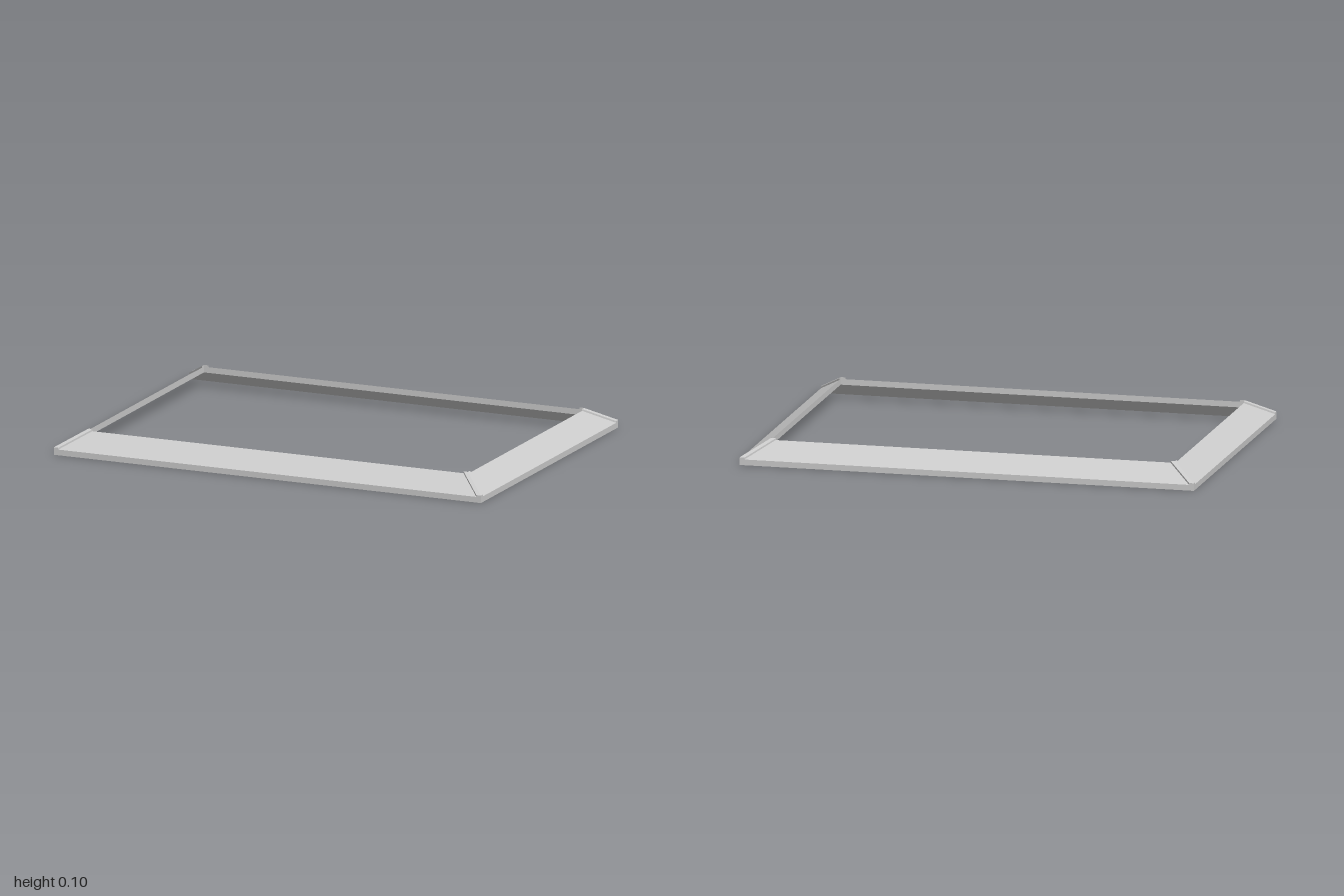
import * as THREE from 'three';
import { ConvexGeometry } from 'three/addons/geometries/ConvexGeometry.js';

const OUT = { x: 1, z: 0.71, y: 0.025 };   // outer (low) rim of the sloped top
const IN = { x: 0.89, z: 0.60, y: 0.092 }; // inner (high) rim
const SLAB = 0.025;  // vertical thickness of the sloped sides
const CAP = 0.008;   // height of the corner caps above the slope
const WING = 0.021;  // width of each cap wing along the rim

export function createModel() {
  const group = new THREE.Group();
  const material = new THREE.MeshStandardMaterial({ color: 0xcccccc, flatShading: true });

  // Flat plate: a planar top outline thickened straight down
  const plate = (name, outline, thickness) => {
    const points = outline.flatMap(([x, y, z]) => [
      new THREE.Vector3(x, y, z),
      new THREE.Vector3(x, y - thickness, z),
    ]);
    const mesh = new THREE.Mesh(new ConvexGeometry(points), material);
    mesh.name = name;
    group.add(mesh);
  };

  // Four sloped sides, mitred at the corners
  for (const s of [1, -1]) {
    plate(s > 0 ? 'frontSide' : 'backSide', [
      [-OUT.x, OUT.y, s * OUT.z], [OUT.x, OUT.y, s * OUT.z],
      [IN.x, IN.y, s * IN.z], [-IN.x, IN.y, s * IN.z],
    ], SLAB);
    plate(s > 0 ? 'leftSide' : 'rightSide', [
      [s * OUT.x, OUT.y, -OUT.z], [s * OUT.x, OUT.y, OUT.z],
      [s * IN.x, IN.y, IN.z], [s * IN.x, IN.y, -IN.z],
    ], SLAB);
  }

  // Folded cap over each mitre: one wing on each neighbouring slope
  for (const sx of [1, -1]) {
    for (const sz of [1, -1]) {
      const corner = (sz > 0 ? 'front' : 'back') + (sx > 0 ? 'Left' : 'Right');
      for (const [wx, wz] of [[WING, 0], [0, WING]]) {
        const at = (r, dx, dz) => [sx * (r.x - dx), r.y + CAP, sz * (r.z - dz)];
        plate(corner + 'CornerCap', [
          at(OUT, 0, 0), at(OUT, wx, wz), at(IN, wx, wz), at(IN, 0, 0),
        ], CAP + 0.002);
      }
    }
  }
  return group;
}
